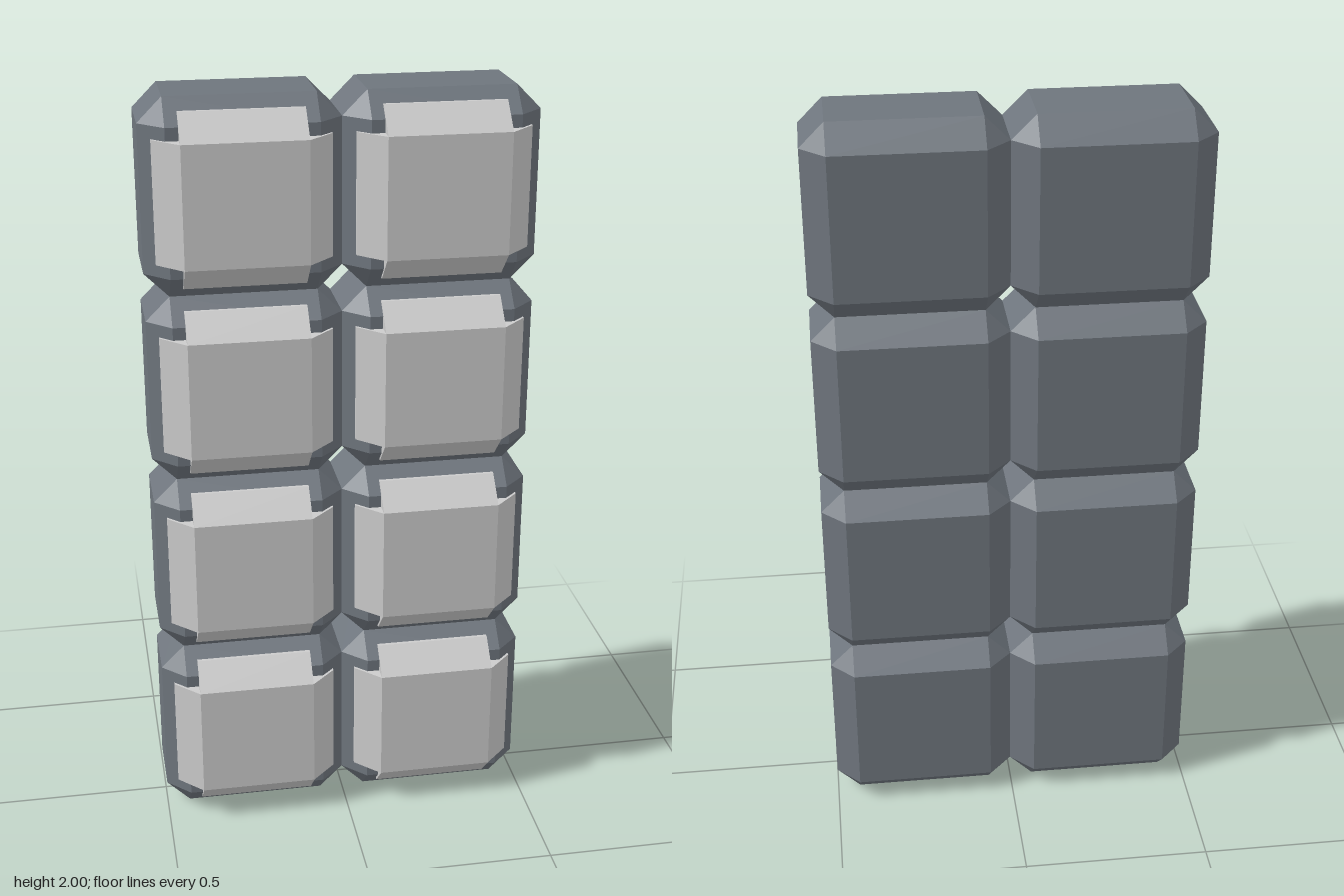
import * as THREE from 'three';
import { ConvexGeometry } from 'three/addons/geometries/ConvexGeometry.js';

const CELL = 0.5, CHAMFER = 0.0625;
const BACK = -0.175, FRONT = 0.175, BODY_FRONT = 0.133;
const FACE = 0.155; // half width of the flat front plate
const RIM = 0.22;   // half width across the sloped flaps

// Box with all edges cut at 45 degrees and triangular corners
function chamferedBox(w, h, d, c) {
  const points = [];
  for (const sx of [-1, 1]) for (const sy of [-1, 1]) for (const sz of [-1, 1]) {
    const x = w / 2, y = h / 2, z = d / 2;
    points.push(
      new THREE.Vector3(sx * x, sy * (y - c), sz * (z - c)),
      new THREE.Vector3(sx * (x - c), sy * y, sz * (z - c)),
      new THREE.Vector3(sx * (x - c), sy * (y - c), sz * z));
  }
  return new ConvexGeometry(points);
}

// Sloped flap along +x of the plate, extruded along y
function flapGeometry() {
  const s = new THREE.Shape();
  s.moveTo(FACE, 0.05);
  s.lineTo(RIM - 0.03, 0.05);
  s.lineTo(RIM, 0.1);
  s.lineTo(RIM, FRONT - (RIM - FACE));
  s.lineTo(FACE, FRONT);
  const g = new THREE.ExtrudeGeometry(s, { depth: 2 * FACE, bevelEnabled: false });
  g.translate(0, 0, -FACE);
  g.rotateX(Math.PI / 2); // profile height becomes z
  return g;
}

export function createModel() {
  const model = new THREE.Group();
  model.name = 'panelGrid';
  const dark = new THREE.MeshStandardMaterial({ color: 0x6e757d, flatShading: true });
  const light = new THREE.MeshStandardMaterial({ color: 0xcccccc, flatShading: true });

  const depth = BODY_FRONT - BACK;
  const bodyGeo = chamferedBox(CELL, CELL, depth, CHAMFER);
  bodyGeo.translate(0, 0, (BODY_FRONT + BACK) / 2);
  const plateGeo = new THREE.BoxGeometry(2 * FACE, 2 * FACE, FRONT - 0.05);
  plateGeo.translate(0, 0, (FRONT + 0.05) / 2);
  const flapGeo = flapGeometry();

  const add = (parent, geo, mat, name) => {
    const mesh = new THREE.Mesh(geo, mat);
    mesh.name = name;
    parent.add(mesh);
    return mesh;
  };

  // Two columns and four rows of identical blocks
  for (let row = 0; row < 4; row++) {
    for (const side of [-1, 1]) {
      const block = new THREE.Group();
      block.name = `block${side > 0 ? 'Left' : 'Right'}${row + 1}`;
      block.position.set(side * CELL / 2, (row + 0.5) * CELL, 0);
      add(block, bodyGeo, dark, 'blockBody');
      add(block, plateGeo, light, 'frontPlate');
      ['leftFlap', 'topFlap', 'rightFlap', 'bottomFlap'].forEach((name, i) => {
        add(block, flapGeo, light, name).rotation.z = i * Math.PI / 2;
      });
      model.add(block);
    }
  }
  return model;
}
